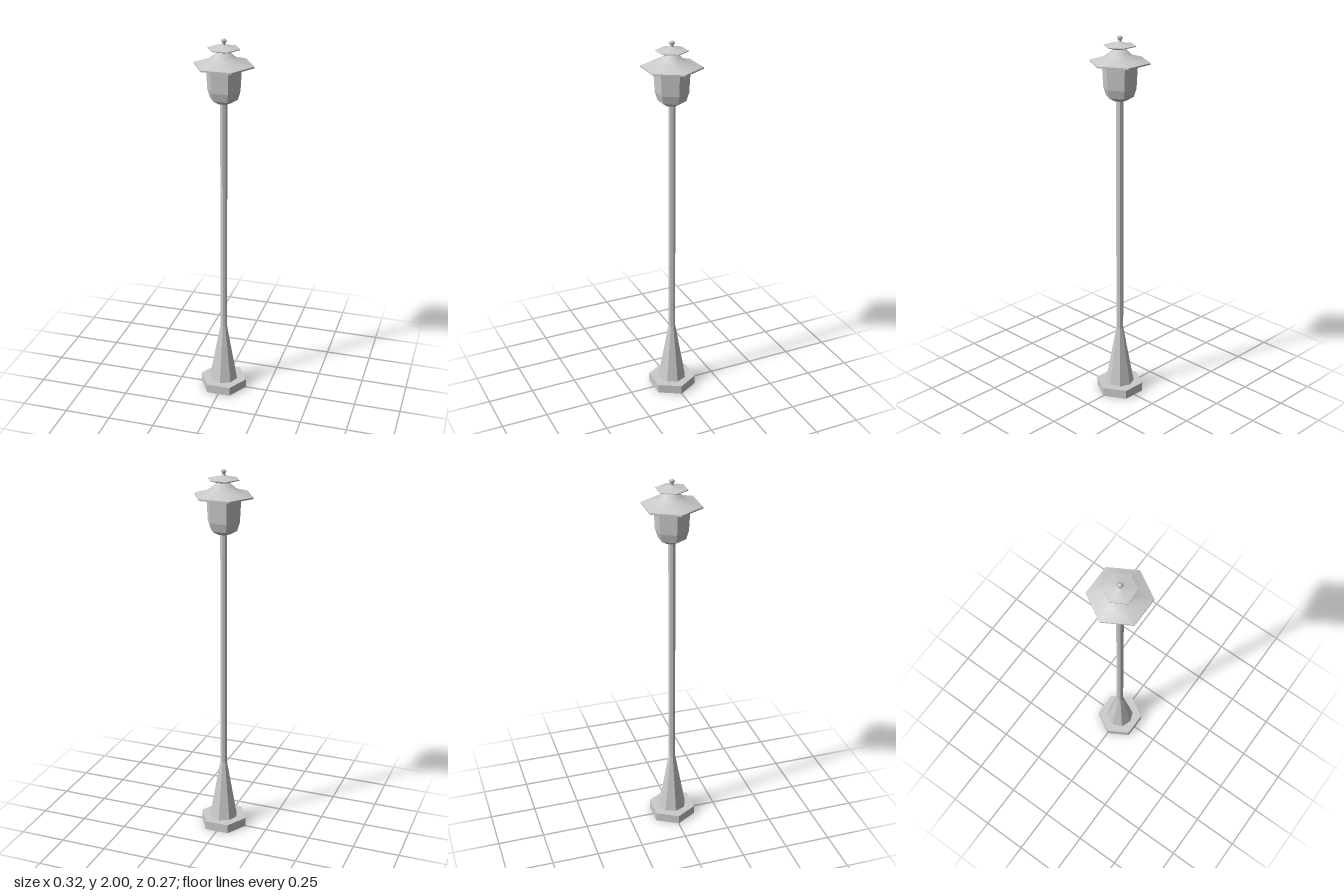
import * as THREE from 'three';

const flat = new THREE.MeshStandardMaterial({ color: 0xcccccc, flatShading: true, side: THREE.DoubleSide });
const smooth = new THREE.MeshStandardMaterial({ color: 0xcccccc, side: THREE.DoubleSide });

// Faceted turning: profile of [radius, height] from bottom to top, with a corner on the x axis
function turned(name, sides, profile, material = flat) {
  const points = profile.map(([r, y]) => new THREE.Vector2(r, y));
  const mesh = new THREE.Mesh(new THREE.LatheGeometry(points, sides, Math.PI / 2), material);
  mesh.name = name;
  return mesh;
}

export function createModel() {
  const lamp = new THREE.Group();
  lamp.name = 'streetLamp';

  // Plinth, flared foot and post
  lamp.add(turned('plinth', 6, [[0, 0], [0.13, 0], [0.13, 0.05], [0, 0.05]]));
  lamp.add(turned('flaredFoot', 8, [[0.078, 0.05], [0.019, 0.38]]));
  lamp.add(turned('post', 8, [[0.019, 0.38], [0.019, 1.68]]));

  // Lantern: collar, rounded bowl and tall panes
  lamp.add(turned('lanternBowl', 6, [[0, 1.665], [0.035, 1.668], [0.073, 1.69], [0.087, 1.735]]));
  lamp.add(turned('lanternPanes', 6, [[0.087, 1.735], [0.094, 1.86]]));

  // Wide roof: flat underside, thin brim, then a concave sweep to the neck
  lamp.add(turned('roofUnderside', 6, [[0, 1.86], [0.158, 1.86], [0.158, 1.868]]));
  lamp.add(turned('roof', 6, [[0.158, 1.868], [0.085, 1.89], [0.055, 1.912], [0.033, 1.932]], smooth));

  // Small upper cap
  lamp.add(turned('capUnderside', 6, [[0.033, 1.932], [0.083, 1.946], [0.083, 1.95]]));
  lamp.add(turned('cap', 6, [[0.083, 1.95], [0.03, 1.96], [0.01, 1.968]], smooth));

  // Finial: thin stem and faceted knob
  lamp.add(turned('finialStem', 6, [[0.01, 1.966], [0.007, 1.98]]));
  lamp.add(turned('finialKnob', 6, [[0.007, 1.975], [0.016, 1.987], [0.01, 1.996], [0, 2]], smooth));

  return lamp;
}
